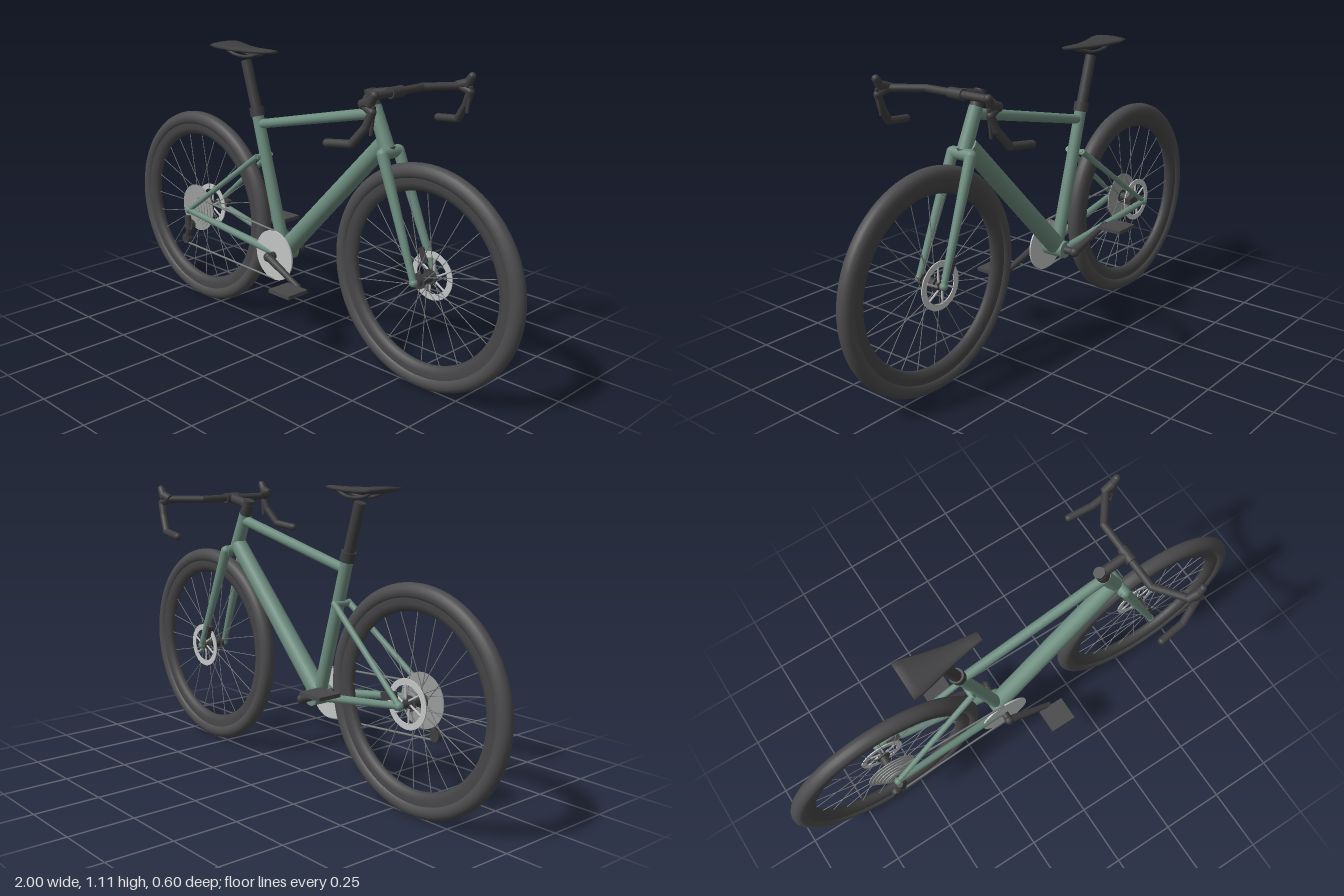
import * as THREE from 'three';

const mat = (name, color, side = THREE.FrontSide) => {
  const m = new THREE.MeshStandardMaterial({ color, side });
  m.name = name;
  return m;
};
const V = (x, y, z) => new THREE.Vector3(x, y, z);

export function createModel() {
  const frame = mat('frame green', 0x6c8c7e);
  const rubber = mat('tyre rubber', 0x4c4c4e);
  const rimMat = mat('rim carbon', 0x454547);
  const dark = mat('dark component', 0x3e3e40);
  const pedalMat = mat('pedal grey', 0x48484a);
  const steel = mat('steel', 0x7c7e80);
  const cogMat = mat('cassette grey', 0x9a9c9c);
  const silver = mat('silver', 0xc4c6c6);

  const bike = new THREE.Group();
  bike.name = 'bicycle';

  const add = (parent, name, geo, material) => {
    const m = new THREE.Mesh(geo, material);
    m.name = name;
    parent.add(m);
    return m;
  };
  // Straight tube between two points, radius ra at a and rb at b
  const rod = (parent, name, a, b, ra, rb, material, sides = 16) => {
    const dir = b.clone().sub(a);
    const m = add(parent, name, new THREE.CylinderGeometry(rb, ra, dir.length(), sides), material);
    m.position.copy(a).addScaledVector(dir, 0.5);
    m.quaternion.setFromUnitVectors(V(0, 1, 0), dir.normalize());
    return m;
  };
  const ball = (parent, name, p, r, material) =>
    add(parent, name, new THREE.SphereGeometry(r, 16, 10), material).position.copy(p);
  // Disc or drum along z
  const disc = (parent, name, x, y, z0, z1, r, material, sides = 32, r2 = r) =>
    rod(parent, name, V(x, y, z0), V(x, y, z1), r, r2, material, sides);

  // Wheels: tyre, rim, spokes, hub and brake rotor
  const Y = 0.41, AX = 0.595;
  const makeWheel = (name, x) => {
    const w = new THREE.Group();
    w.name = name;
    w.position.set(x, Y, 0);
    bike.add(w);
    add(w, 'tyre', new THREE.TorusGeometry(0.376, 0.029, 16, 80), rubber);
    const profile = [[0.362, 0.02], [0.335, 0.021], [0.316, 0.014], [0.308, 0],
      [0.316, -0.014], [0.335, -0.021], [0.362, -0.02]].map(p => new THREE.Vector2(...p));
    const rim = new THREE.LatheGeometry(profile.reverse(), 80);
    rim.rotateX(Math.PI / 2);
    const rimM = mat('rim carbon', 0x454547, THREE.DoubleSide);
    add(w, 'rim', rim, makeWheel.rim ??= rimM);
    disc(w, 'hub', 0, 0, -0.045, 0.045, 0.018, dark, 20);
    for (const s of [-1, 1]) disc(w, 'hubFlange', 0, 0, s * 0.03 - 0.003, s * 0.03 + 0.003, 0.028, dark, 24);
    for (let i = 0; i < 24; i++) {
      const a = (i / 24) * Math.PI * 2, h = a + (i % 4 < 2 ? 0.5 : -0.5), z = i % 2 ? 0.03 : -0.03;
      rod(w, 'spoke', V(Math.cos(h) * 0.025, Math.sin(h) * 0.025, z),
        V(Math.cos(a) * 0.312, Math.sin(a) * 0.312, 0), 0.0016, 0.0016, steel, 5);
    }
    const ring = new THREE.Shape().absarc(0, 0, 0.088, 0, Math.PI * 2);
    ring.holes.push(new THREE.Path().absarc(0, 0, 0.066, 0, Math.PI * 2, true));
    const rotor = new THREE.ExtrudeGeometry(ring, { depth: 0.004, bevelEnabled: false, curveSegments: 32 });
    add(w, 'brakeRotor', rotor, silver).position.z = -0.044;
    for (let i = 0; i < 6; i++) {
      const a = i * Math.PI / 3;
      rod(w, 'rotorArm', V(Math.cos(a) * 0.015, Math.sin(a) * 0.015, -0.042),
        V(Math.cos(a + 0.4) * 0.069, Math.sin(a + 0.4) * 0.069, -0.042), 0.004, 0.004, silver, 6);
    }
  };
  makeWheel.rim = mat('rim carbon', rimMat.color.getHex(), THREE.DoubleSide);
  makeWheel('rearWheel', -AX);
  makeWheel('frontWheel', AX);

  // Main frame
  const bb = V(-0.1, 0.33, 0);
  const seatTop = V(-0.25, 0.865, 0), headTop = V(0.352, 0.975, 0), headLow = V(0.415, 0.835, 0);
  rod(bike, 'seatTube', bb, seatTop, 0.025, 0.023, frame);
  rod(bike, 'topTube', V(-0.236, 0.82, 0), V(0.36, 0.952, 0), 0.018, 0.02, frame);
  rod(bike, 'downTube', V(-0.09, 0.345, 0), V(0.4, 0.85, 0), 0.037, 0.033, frame, 24);
  rod(bike, 'headTube', headLow, headTop, 0.027, 0.025, frame, 24);
  disc(bike, 'bottomBracket', bb.x, bb.y, -0.045, 0.045, 0.034, frame, 24);
  rod(bike, 'seatstayBridge', V(-0.222, 0.695, -0.035), V(-0.222, 0.695, 0.035), 0.012, 0.012, frame);
  for (const s of [-1, 1]) {
    const drop = V(-AX, Y, s * 0.08);
    rod(bike, 'seatstay', V(-0.215, 0.7, s * 0.034), drop, 0.012, 0.01, frame, 12);
    rod(bike, 'chainstay', V(-0.11, 0.335, s * 0.042), drop, 0.017, 0.012, frame, 12);
    ball(bike, 'dropout', drop, 0.016, frame);
    // Fork legs
    rod(bike, 'forkLeg', V(0.43, 0.825, s * 0.042), V(AX, Y, s * 0.058), 0.021, 0.012, frame);
    ball(bike, 'forkShoulder', V(0.43, 0.825, s * 0.042), 0.021, frame);
    ball(bike, 'forkEnd', V(AX, Y, s * 0.058), 0.015, frame);
  }
  rod(bike, 'forkCrown', V(0.428, 0.825, -0.044), V(0.428, 0.825, 0.044), 0.022, 0.022, frame);
  rod(bike, 'lowerHeadset', V(0.423, 0.817, 0), headLow, 0.029, 0.029, dark, 24);
  disc(bike, 'rearAxle', -AX, Y, -0.09, 0.09, 0.012, dark, 16);
  disc(bike, 'frontAxle', AX, Y, -0.066, 0.066, 0.011, dark, 16);

  // Brake calipers
  const caliper = (name, x, y, z, tilt) => {
    const m = add(bike, name, new THREE.BoxGeometry(0.055, 0.026, 0.026), dark);
    m.position.set(x, y, z);
    m.rotation.z = tilt;
  };
  caliper('frontCaliper', 0.555, 0.475, -0.05, -1.2);
  caliper('rearCaliper', -0.53, 0.43, -0.062, -0.15);

  // Seat post and saddle
  rod(bike, 'seatCollar', V(-0.246, 0.85, 0), V(-0.255, 0.885, 0), 0.028, 0.028, dark, 20);
  rod(bike, 'seatPost', seatTop, V(-0.31, 1.06, 0), 0.021, 0.021, dark, 20);
  // Saddle sections: x, half width, top, thickness
  const sections = [[-0.44, 0.074, 1.12, 0.018], [-0.41, 0.074, 1.12, 0.026], [-0.34, 0.055, 1.115, 0.026],
    [-0.26, 0.036, 1.112, 0.022], [-0.19, 0.024, 1.113, 0.018], [-0.15, 0.019, 1.113, 0.013]];
  const N = 14, pos = [], idx = [];
  sections.forEach(([x, w, top, t]) => {
    for (let j = 0; j < N; j++) {
      const a = (j / N) * Math.PI * 2;
      pos.push(x, top - t / 2 + Math.sin(a) * t / 2, Math.cos(a) * w);
    }
  });
  for (let i = 0; i < sections.length - 1; i++) {
    for (let j = 0; j < N; j++) {
      const a = i * N + j, b = i * N + (j + 1) % N;
      idx.push(a, a + N, b, b, a + N, b + N);
    }
  }
  const last = (sections.length - 1) * N;
  for (let j = 1; j < N - 1; j++) idx.push(0, j, j + 1, last, last + j + 1, last + j);
  const saddleGeo = new THREE.BufferGeometry();
  saddleGeo.setAttribute('position', new THREE.Float32BufferAttribute(pos, 3));
  saddleGeo.setIndex(idx);
  saddleGeo.computeVertexNormals();
  add(bike, 'saddle', saddleGeo, mat('saddle black', 0x3e3e40, THREE.DoubleSide));
  for (const s of [-1, 1]) {
    const path = new THREE.CatmullRomCurve3([V(-0.4, 1.1, s * 0.028), V(-0.35, 1.082, s * 0.026),
      V(-0.27, 1.08, s * 0.024), V(-0.2, 1.102, s * 0.014)]);
    add(bike, 'saddleRail', new THREE.TubeGeometry(path, 16, 0.006, 8), dark);
  }

  // Stem and drop handlebar
  rod(bike, 'steererSpacers', headTop, V(0.334, 1.015, 0), 0.024, 0.022, dark, 20);
  rod(bike, 'stemClamp', V(0.342, 0.995, 0), V(0.328, 1.032, 0), 0.021, 0.021, dark, 20);
  rod(bike, 'stem', V(0.34, 1.015, 0), V(0.445, 1.036, 0), 0.019, 0.018, dark);
  disc(bike, 'barClamp', 0.445, 1.035, -0.03, 0.03, 0.02, dark, 20);
  disc(bike, 'barTop', 0.445, 1.035, -0.14, 0.14, 0.014, dark, 16);
  for (const s of [-1, 1]) {
    const pts = [V(0.445, 1.035, s * 0.14), V(0.525, 1.036, s * 0.245), V(0.565, 1.02, s * 0.252),
      V(0.545, 0.97, s * 0.258), V(0.5, 0.912, s * 0.275), V(0.405, 0.902, s * 0.286)];
    pts.forEach((p, i) => {
      ball(bike, 'barBend', p, 0.0142, dark);
      if (i) rod(bike, 'barSection', pts[i - 1], p, 0.0142, 0.0142, dark, 14);
    });
    rod(bike, 'brakeHood', V(0.515, 1.037, s * 0.245), V(0.556, 1.05, s * 0.25), 0.016, 0.017, dark);
    rod(bike, 'hoodHorn', V(0.55, 1.04, s * 0.25), V(0.572, 1.074, s * 0.25), 0.017, 0.014, dark);
    ball(bike, 'hoodTip', V(0.572, 1.074, s * 0.25), 0.014, dark);
    rod(bike, 'brakeLever', V(0.57, 1.04, s * 0.25), V(0.558, 0.945, s * 0.248), 0.008, 0.006, dark, 8);
  }

  // Cranks and pedals, mirrored through the bottom bracket
  disc(bike, 'crankAxle', bb.x, bb.y, -0.095, 0.095, 0.015, dark, 20);
  for (const s of [-1, 1]) {
    const start = V(bb.x, bb.y, s * 0.086), end = V(bb.x + s * 0.18, bb.y - s * 0.068, s * 0.102);
    rod(bike, 'crankArm', start, end, 0.016, 0.011, dark, 14);
    ball(bike, 'crankBoss', start, 0.019, dark);
    ball(bike, 'crankEnd', end, 0.012, dark);
    rod(bike, 'pedalAxle', end, V(end.x, end.y, s * 0.15), 0.006, 0.006, steel, 8);
    add(bike, 'pedal', new THREE.BoxGeometry(0.106, 0.014, 0.098), pedalMat)
      .position.set(end.x + s * 0.004, end.y, s * 0.157);
  }

  // Drivetrain
  disc(bike, 'chainring', bb.x, bb.y, 0.051, 0.057, 0.1, silver, 48);
  for (let i = 0; i < 6; i++) {
    const r = 0.098 - i * 0.011, z = 0.03 + i * 0.006;
    disc(bike, 'cassetteCog', -AX, Y, z, z + 0.003, r, cogMat, 40);
  }
  disc(bike, 'cassetteCore', -AX, Y, 0.03, 0.064, 0.035, cogMat, 24);
  rod(bike, 'upperChain', V(-0.57, 0.462, 0.054), V(-0.1, 0.43, 0.054), 0.004, 0.004, steel, 6);
  rod(bike, 'lowerChain', V(-0.62, 0.263, 0.08), V(-0.1, 0.232, 0.054), 0.004, 0.004, steel, 6);
  rod(bike, 'derailleurBody', V(-0.597, 0.385, 0.088), V(-0.592, 0.335, 0.085), 0.013, 0.018, dark, 12);
  rod(bike, 'derailleurCage', V(-0.59, 0.345, 0.08), V(-0.617, 0.28, 0.08), 0.013, 0.012, dark, 10);
  disc(bike, 'upperPulley', -0.59, 0.345, 0.07, 0.088, 0.022, dark, 16);
  disc(bike, 'lowerPulley', -0.617, 0.28, 0.07, 0.088, 0.021, dark, 16);

  // Settle the model on the ground and centre it
  bike.updateMatrixWorld(true);
  const box = new THREE.Box3().setFromObject(bike);
  bike.children.forEach(c => { c.position.y -= box.min.y; });
  return bike;
}
